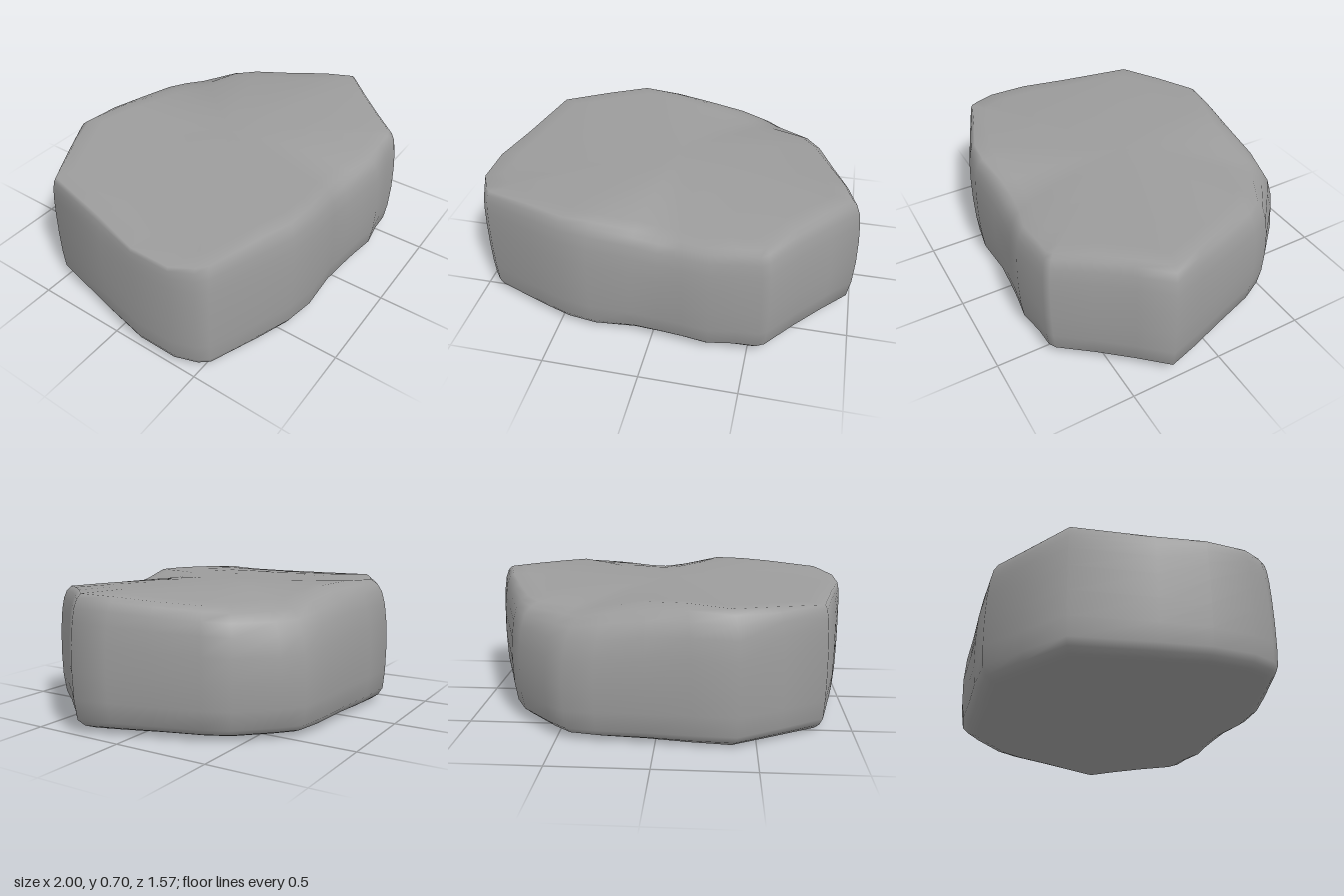
import * as THREE from 'three';

// Outline, clockwise from the back as seen from above: x, z, top bevel width, rim height
const OUTLINE = [
  [-0.41, -0.79, 0.09, 0.69], [-0.18, -0.785, 0.13, 0.7], [0.05, -0.765, 0.16, 0.69],
  [0.3, -0.75, 0.18, 0.66], [0.46, -0.72, 0.2, 0.635], [0.56, -0.64, 0.19, 0.63],
  [0.73, -0.47, 0.11, 0.635], [0.8, -0.34, 0.09, 0.645], [0.88, -0.1, 0.07, 0.66],
  [0.95, 0.1, 0.06, 0.68], [1.0, 0.27, 0.06, 0.69], [0.87, 0.41, 0.06, 0.685],
  [0.73, 0.57, 0.06, 0.675], [0.6, 0.73, 0.06, 0.66], [0.56, 0.75, 0.06, 0.65],
  [0.45, 0.755, 0.06, 0.645], [0.31, 0.778, 0.07, 0.635], [0.17, 0.758, 0.08, 0.625],
  [0.04, 0.745, 0.08, 0.622], [-0.1, 0.735, 0.07, 0.64], [-0.32, 0.748, 0.06, 0.68],
  [-0.48, 0.72, 0.05, 0.678], [-0.65, 0.655, 0.05, 0.675], [-0.92, 0.54, 0.03, 0.66],
  [-0.96, 0.49, 0.03, 0.65], [-1.0, 0.37, 0.015, 0.64], [-1.0, 0.15, 0.015, 0.64],
  [-0.95, -0.1, 0.03, 0.65], [-0.855, -0.51, 0.03, 0.665], [-0.63, -0.655, 0.06, 0.68],
];

// Side profile: base inset, share of the top bevel, height as a share of the rim height
const PROFILE = [
  [0.2, 0, 0], [0.12, 0, 0.01], [0.06, 0, 0.045], [0.02, 0, 0.1], [0.005, 0, 0.25],
  [0, 0, 0.45], [0, 0.06, 0.65], [0, 0.2, 0.8], [0, 0.4, 0.9], [0, 0.7, 0.965], [0, 1.1, 1],
];

// Upper surface: scale of each ring inside the rim, blend towards the crown height
const CROWN = [[0.9, 0.2], [0.75, 0.5], [0.5, 0.85], [0.25, 1]];
const CROWN_Y = 0.69;

function stoneGeometry() {
  const n = OUTLINE.length;
  const pos = [0, 0, 0];
  for (const [inset, share, h] of PROFILE) {
    for (const [x, z, bevel, rim] of OUTLINE) {
      const base = inset * (0.75 + 0.35 * x); // base edge is sharper towards the right
      const s = 1 - (base + share * bevel) / Math.hypot(x, z);
      pos.push(x * s, h * rim, z * s);
    }
  }
  for (const [scale, blend] of CROWN) {
    for (const [x, z, bevel, rim] of OUTLINE) {
      const s = scale * (1 - 1.1 * bevel / Math.hypot(x, z));
      pos.push(x * s, THREE.MathUtils.lerp(rim, CROWN_Y, blend), z * s);
    }
  }
  pos.push(0, CROWN_Y, 0);

  const rings = PROFILE.length + CROWN.length;
  const top = 1 + rings * n;
  const index = [];
  for (let j = 0; j < n; j++) {
    const k = (j + 1) % n;
    index.push(0, 1 + j, 1 + k); // underside fan
    for (let r = 0; r < rings - 1; r++) {
      const a = 1 + r * n + j, b = 1 + r * n + k;
      index.push(a, a + n, b, b, a + n, b + n);
    }
    index.push(top - n + j, top, top - n + k); // crown fan
  }
  const geo = new THREE.BufferGeometry();
  geo.setAttribute('position', new THREE.Float32BufferAttribute(pos, 3));
  geo.setIndex(index);
  geo.computeVertexNormals();
  return geo;
}

export function createModel() {
  const group = new THREE.Group();
  group.name = 'rock';
  const stone = new THREE.Mesh(stoneGeometry(), new THREE.MeshStandardMaterial({ color: 0x9c9c9c }));
  stone.name = 'stone';
  group.add(stone);
  return group;
}
